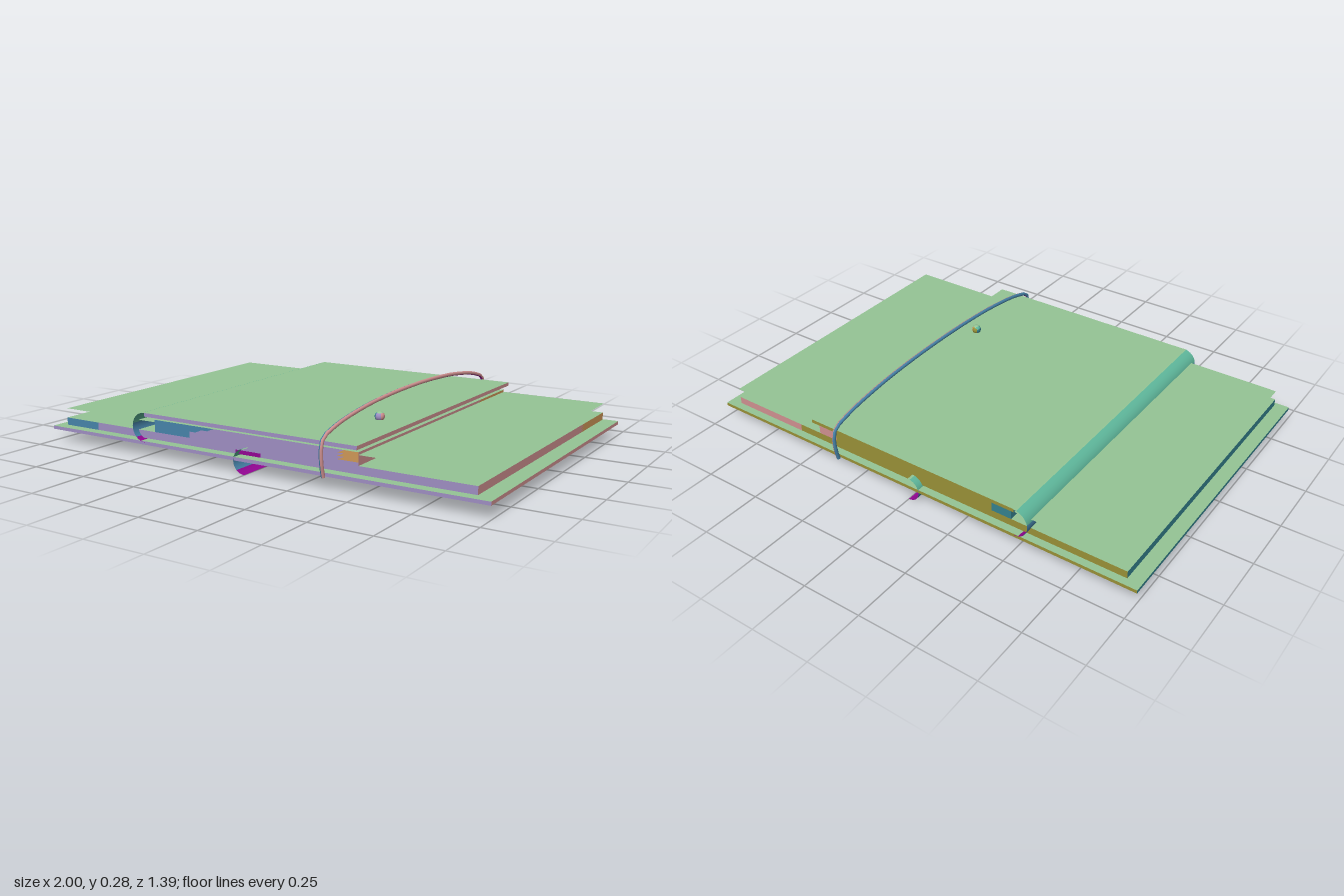
import * as THREE from 'three';

const COLORS = {
  sageGreen: 0x95c595, magenta: 0x940694, violet: 0xa08fc4, olive: 0x9a9238, rosePink: 0xd29292,
  amber: 0xd09858, slateBlue: 0x4784aa, deepTeal: 0x35828e, seaGreen: 0x5fb89c,
};
const NAMES = Object.keys(COLORS);

// colour belonging to each facing direction
const FACING = [
  ['sageGreen', 0, 1, 0], ['magenta', 0, -1, 0], ['violet', 0, 0, 1], ['olive', 0, 0, -1],
  ['rosePink', 1, 0, 0], ['deepTeal', -1, 0, 0], ['seaGreen', -0.7, 0.7, 0],
  ['slateBlue', -0.7, -0.7, 0], ['slateBlue', -0.7, 0, 0.7], ['amber', 0.7, 0, -0.7],
].map(([name, x, y, z]) => [name, new THREE.Vector3(x, y, z).normalize()]);

export function createModel() {
  const model = new THREE.Group();
  const materials = NAMES.map((name) => {
    const m = new THREE.MeshStandardMaterial({ color: COLORS[name], side: THREE.DoubleSide });
    m.name = name;
    return m;
  });

  // adds a mesh whose triangles are coloured by the way they face
  function add(name, geometry, override) {
    const g = geometry.index ? geometry.toNonIndexed() : geometry;
    const p = g.attributes.position;
    const tri = new THREE.Triangle(), n = new THREE.Vector3(), mid = new THREE.Vector3();
    g.clearGroups();
    for (let i = 0; i < p.count; i += 3) {
      tri.setFromAttributeAndIndices(p, i, i + 1, i + 2);
      tri.getNormal(n);
      tri.getMidpoint(mid);
      let best = FACING[0];
      for (const f of FACING) if (f[1].dot(n) > best[1].dot(n) + 1e-6) best = f;
      const colour = (override && override(n, mid)) || best[0];
      const index = NAMES.indexOf(colour);
      const last = g.groups[g.groups.length - 1];
      if (last && last.materialIndex === index) last.count += 3;
      else g.addGroup(i, 3, index);
    }
    const mesh = new THREE.Mesh(g, materials);
    mesh.name = name;
    model.add(mesh);
  }

  // box given by its limits
  function slab(name, x0, x1, y0, y1, z, override) {
    const s = override ? 32 : 1;
    const g = new THREE.BoxGeometry(x1 - x0, y1 - y0, 2 * z, s, override ? 4 : 1, s);
    g.translate((x0 + x1) / 2, (y0 + y1) / 2, 0);
    add(name, g, override);
  }

  // tints on the page edges
  const rightTint = (n, c) => (n.x > 0.9 && c.z < -0.38 ? 'amber' : null);
  const lowerTint = (n, c) => {
    if (n.z > 0.9 && c.x < -0.78) return 'slateBlue';
    if (n.z > 0.9 && Math.abs(c.x + 0.01) < 0.06 && c.y < 0.084) return 'magenta';
    if (n.z < -0.9 && c.x > 0.6) return 'rosePink';
    return rightTint(n, c);
  };
  const upperTint = (n, c) => {
    if (n.z > 0.9 && c.x < -0.28 + Math.max(0, c.y - 0.12) * 4.5) return 'slateBlue';
    if (n.z > 0.9 && c.x > 0.41 && c.y > 0.112) return 'amber';
    if (n.z < -0.9 && c.x > 0.4) return 'rosePink';
    if (n.z < -0.9 && c.x < -0.37) return 'deepTeal';
    return rightTint(n, c);
  };

  // open half-round spine bulging to the right, banded along its length
  function spine(name, x, y, r) {
    const g = new THREE.CylinderGeometry(r, r, 1.34, 16, 1, true, Math.PI, Math.PI);
    g.rotateX(Math.PI / 2).translate(x, y, 0);
    add(name, g, (n) => {
      if (n.y > 0.97) return 'sageGreen';
      if (n.y > 0.2) return 'seaGreen';
      return n.y > -0.75 ? 'slateBlue' : 'magenta';
    });
  }

  // wide lower book
  slab('lowerCover', -1, 1, 0.05, 0.064, 0.668);
  slab('lowerPages', -0.945, 0.94, 0.069, 0.1, 0.64, lowerTint);
  spine('lowerSpine', 0, 0.05, 0.05);

  // loose sheet above the lower pages
  const sheet = new THREE.PlaneGeometry(1.885, 1.28);
  sheet.rotateX(-Math.PI / 2).translate(0, 0.14, 0);
  add('looseSheet', sheet);

  // narrow upper book
  slab('upperPages', -0.46, 0.48, 0.1, 0.15, 0.64, upperTint);
  slab('upperCover', -0.49, 0.49, 0.165, 0.18, 0.668);
  spine('upperSpine', -0.49, 0.12, 0.06);

  // elastic band arching over the books
  const half = [[0.675, 0.048], [0.688, 0.11], [0.68, 0.185], [0.6, 0.218], [0.4, 0.25], [0.2, 0.264]];
  const path = [...half, [0, 0.268], ...half.map(([z, y]) => [-z, y]).reverse()]
    .map(([z, y]) => new THREE.Vector3(0.355, y, z));
  add('elasticBand', new THREE.TubeGeometry(new THREE.CatmullRomCurve3(path), 48, 0.008, 8, false), (n) => {
    if (n.y < -0.6) return 'magenta';
    return n.x > -0.3 ? 'rosePink' : 'slateBlue';
  });

  // small bead on the cover
  const bead = new THREE.SphereGeometry(0.02, 16, 12);
  bead.translate(0.355, 0.192, 0.27);
  add('bead', bead);

  return model;
}
